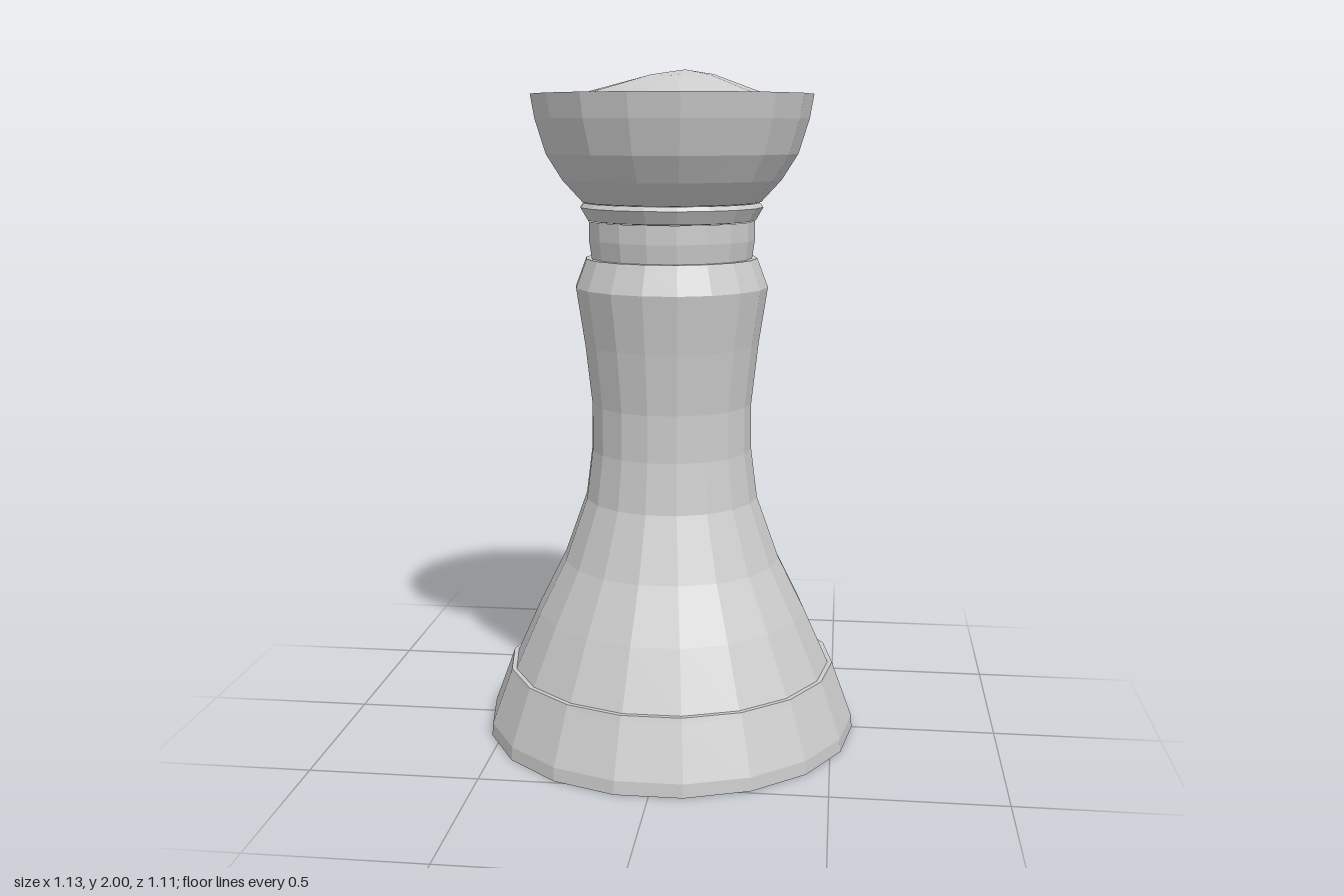
import * as THREE from 'three';

const SIDES = 18;
const material = new THREE.MeshStandardMaterial({ color: 0xcccccc, flatShading: true });

// Faceted turned part from [radius, height] pairs, listed from bottom to top
function turned(name, profile, adjust) {
  const points = profile.map(([r, y]) => new THREE.Vector2(r, y));
  let geometry = new THREE.LatheGeometry(points, SIDES, Math.PI / 2);
  if (adjust) adjust(geometry.attributes.position);
  geometry = geometry.toNonIndexed();
  geometry.computeVertexNormals();
  const mesh = new THREE.Mesh(geometry, material);
  mesh.name = name;
  return mesh;
}

// Shallow hand-carved crown: apex slightly off centre, slopes a little uneven
function carve(position) {
  for (let i = 0; i < position.count; i++) {
    const x = position.getX(i), y = position.getY(i), z = position.getZ(i);
    const r = Math.hypot(x, z);
    if (r > 0.36) continue;
    const a = Math.atan2(z, x);
    const wobble = r < 0.01 ? 0 : 0.004 * Math.sin(5 * a + 1) + 0.003 * Math.cos(3 * a);
    position.setXYZ(i, x + 0.04 * Math.max(0, 1 - r / 0.24), y + wobble, z);
  }
}

export function createModel() {
  const group = new THREE.Group();
  group.name = 'chessPiece';
  group.add(
    // Wide foot with a flat underside and a narrow ledge on top
    turned('base', [[0, 0], [0.565, 0], [0.562, 0.04], [0.505, 0.195], [0.5, 0.21], [0.48, 0.21]]),
    // Flared, waisted stem with a bevelled shoulder
    turned('stem', [
      [0.487, 0.208], [0.41, 0.38], [0.33, 0.54], [0.262, 0.73], [0.243, 0.88],
      [0.242, 1.02], [0.262, 1.2], [0.288, 1.37], [0.256, 1.455], [0.23, 1.455],
    ]),
    turned('neck', [[0.24, 1.455], [0.248, 1.51], [0.248, 1.565]]),
    turned('collar', [[0.235, 1.565], [0.25, 1.567], [0.272, 1.605], [0.262, 1.618], [0.24, 1.618]]),
    // Bowl-shaped head with a thin rim and recessed inside wall
    turned('head', [
      [0.24, 1.615], [0.265, 1.62], [0.325, 1.685], [0.372, 1.76], [0.403, 1.86],
      [0.415, 1.93], [0.405, 1.93], [0.388, 1.89],
    ]),
    turned('crown', [[0.39, 1.89], [0.24, 1.937], [0.1, 1.98], [0, 2]], carve),
  );
  return group;
}
